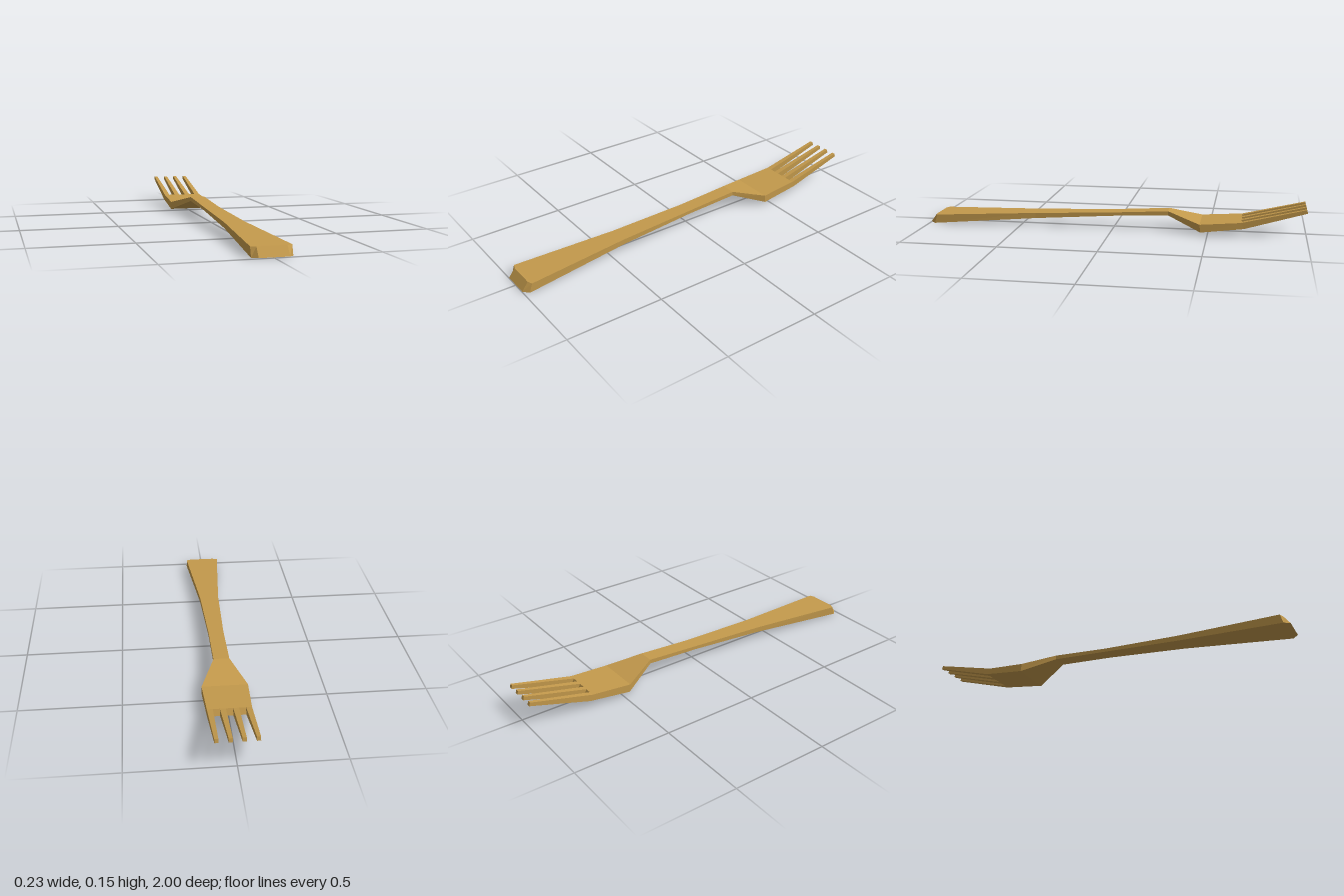
import * as THREE from 'three';

// Lofts four-cornered sections, ordered from +z to -z.
// Section: [left x, right x, bottom y, top y, bottom z, top z]
function loft(sections) {
  const rings = sections.map(([l, r, b, t, zb, zt = zb]) => [
    [l, b, zb], [r, b, zb], [r, t, zt], [l, t, zt],
  ]);
  const pos = [];
  const quad = (a, b, c, d) => pos.push(...a, ...b, ...c, ...a, ...c, ...d);
  for (let s = 0; s < rings.length - 1; s++) {
    const p = rings[s], q = rings[s + 1];
    for (let i = 0; i < 4; i++) {
      const j = (i + 1) % 4;
      quad(p[i], q[i], q[j], p[j]);
    }
  }
  const first = rings[0], last = rings[rings.length - 1];
  quad(first[0], first[1], first[2], first[3]);
  quad(last[3], last[2], last[1], last[0]);
  const geo = new THREE.BufferGeometry();
  geo.setAttribute('position', new THREE.Float32BufferAttribute(pos, 3));
  geo.computeVertexNormals();
  return geo;
}

export function createModel() {
  const group = new THREE.Group();
  group.name = 'fork';
  const brass = new THREE.MeshStandardMaterial({ color: 0xc49a4c, flatShading: true });
  const add = (name, sections) => {
    const mesh = new THREE.Mesh(loft(sections), brass);
    mesh.name = name;
    group.add(mesh);
  };
  const sym = (w, ...rest) => [-w, w, ...rest];

  // Handle with a chamfered, slanted end and a slim neck
  const neck = sym(0.04, 0.08, 0.102, -0.29);
  add('handle', [
    sym(0.07, 0.003, 0.047, 1.0, 0.967),
    sym(0.095, 0, 0.047, 0.972, 0.957),
    sym(0.052, 0.039, 0.067, 0.42),
    sym(0.04, 0.066, 0.084, 0),
    neck,
  ]);

  // Head: flares down from the neck, then narrows slightly to the tines
  add('head', [
    neck,
    sym(0.114, 0.014, 0.055, -0.465, -0.46),
    sym(0.106, 0.04, 0.071, -0.685, -0.67),
  ]);

  // Four tapering tines rising to blunt tips
  const roots = [0.092, 0.031], tips = [0.092, 0.03];
  for (const side of [-1, 1]) {
    for (let i = 0; i < 2; i++) {
      const a = side * roots[i], b = side * tips[i];
      add('tine', [
        [a - 0.014, a + 0.014, 0.04, 0.071, -0.685, -0.67],
        [b - 0.009, b + 0.009, 0.132, 0.15, -1.0, -0.995],
      ]);
    }
  }
  return group;
}
